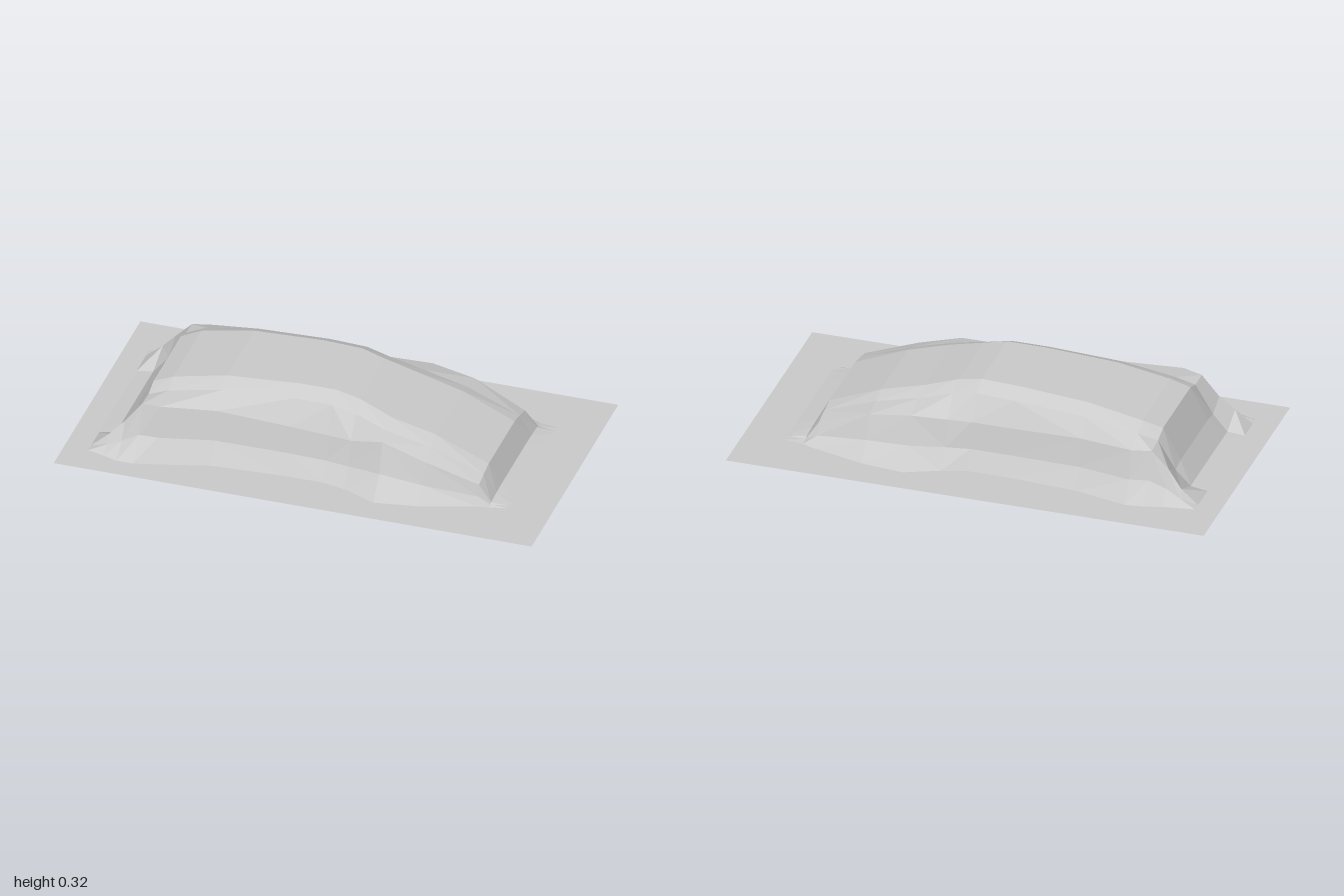
import * as THREE from 'three';

// Roof line of the draped car from tail to nose: [x, height]
const ROOF = [
  [-0.9, 0], [-0.83, 0.012], [-0.77, 0.09], [-0.7, 0.23], [-0.62, 0.26], [-0.4, 0.303], [-0.1, 0.322],
  [0.06, 0.322], [0.16, 0.298], [0.3, 0.253], [0.48, 0.203], [0.7, 0.11], [0.75, 0.018], [0.83, 0],
];

// One entry per station: [hem z, shoulder z, shoulder height, eave z]
const BACK = [
  [-0.36, -0.3, 0, -0.2], [-0.37, -0.32, 0.06, -0.2], [-0.38, -0.3, 0.13, -0.21], [-0.4, -0.3, 0.2, -0.22],
  [-0.41, -0.32, 0.2, -0.24], [-0.36, -0.29, 0.2, -0.24], [-0.34, -0.28, 0.19, -0.23], [-0.34, -0.28, 0.19, -0.22],
  [-0.37, -0.29, 0.19, -0.21], [-0.43, -0.32, 0.2, -0.22], [-0.41, -0.31, 0.17, -0.22], [-0.35, -0.28, 0.08, -0.21],
  [-0.33, -0.28, 0.012, -0.21], [-0.32, -0.27, 0, -0.2],
];
const FRONT = [
  [0.42, 0.36, 0, 0.28], [0.44, 0.37, 0.06, 0.27], [0.46, 0.35, 0.12, 0.27], [0.46, 0.34, 0.21, 0.26],
  [0.44, 0.355, 0.22, 0.25], [0.38, 0.3, 0.21, 0.24], [0.36, 0.29, 0.19, 0.235], [0.36, 0.29, 0.18, 0.235],
  [0.38, 0.3, 0.18, 0.235], [0.44, 0.325, 0.215, 0.26], [0.41, 0.33, 0.16, 0.25], [0.34, 0.31, 0.085, 0.25],
  [0.33, 0.31, 0.012, 0.24], [0.31, 0.28, 0, 0.24],
];

const HALF_LENGTH = 1, HALF_WIDTH = 0.555;

// Half cross-section, from the sheet's edge up to the roof, as [z, y]
function halfSection([hem, shoulder, height, eave], roofY) {
  const side = Math.sign(hem);
  return [
    [side * HALF_WIDTH, 0],
    [hem, 0],
    [shoulder + 0.35 * (hem - shoulder), height * 0.42],
    [shoulder, height],
    [eave, roofY * 0.9],
    [eave - side * 0.065, roofY],
  ];
}

function buildSections() {
  const sections = ROOF.map(([x, y], i) =>
    [...halfSection(BACK[i], y), ...halfSection(FRONT[i], y).reverse()]
      .map(([z, h]) => new THREE.Vector3(x, h, z)));
  // Flat ends of the sheet
  const flatEnd = (section, x) => section.map((p) => new THREE.Vector3(x, 0, p.z));
  sections.unshift(flatEnd(sections[0], -HALF_LENGTH));
  sections.push(flatEnd(sections[sections.length - 1], HALF_LENGTH));
  return sections;
}

function meshFrom(points, name) {
  const geometry = new THREE.BufferGeometry().setFromPoints(points);
  geometry.computeVertexNormals();
  const mesh = new THREE.Mesh(geometry, new THREE.MeshStandardMaterial({
    color: 0xcccccc, flatShading: true, side: THREE.DoubleSide,
  }));
  mesh.name = name;
  return mesh;
}

export function createModel() {
  const sections = buildSections();
  const sheet = [], cover = [];

  // Skin neighbouring sections; flat cells belong to the ground sheet
  for (let i = 0; i < sections.length - 1; i++) {
    for (let j = 0; j < sections[i].length - 1; j++) {
      const a = sections[i][j], b = sections[i][j + 1];
      const c = sections[i + 1][j + 1], d = sections[i + 1][j];
      const target = Math.max(a.y, b.y, c.y, d.y) < 0.001 ? sheet : cover;
      // Split along the diagonal that keeps the drape fuller
      if (a.y + c.y > b.y + d.y) target.push(a, b, c, a, c, d);
      else target.push(a, b, d, b, c, d);
    }
  }

  const group = new THREE.Group();
  group.name = 'drapedCar';
  group.add(meshFrom(sheet, 'groundSheet'), meshFrom(cover, 'carCover'));
  return group;
}
